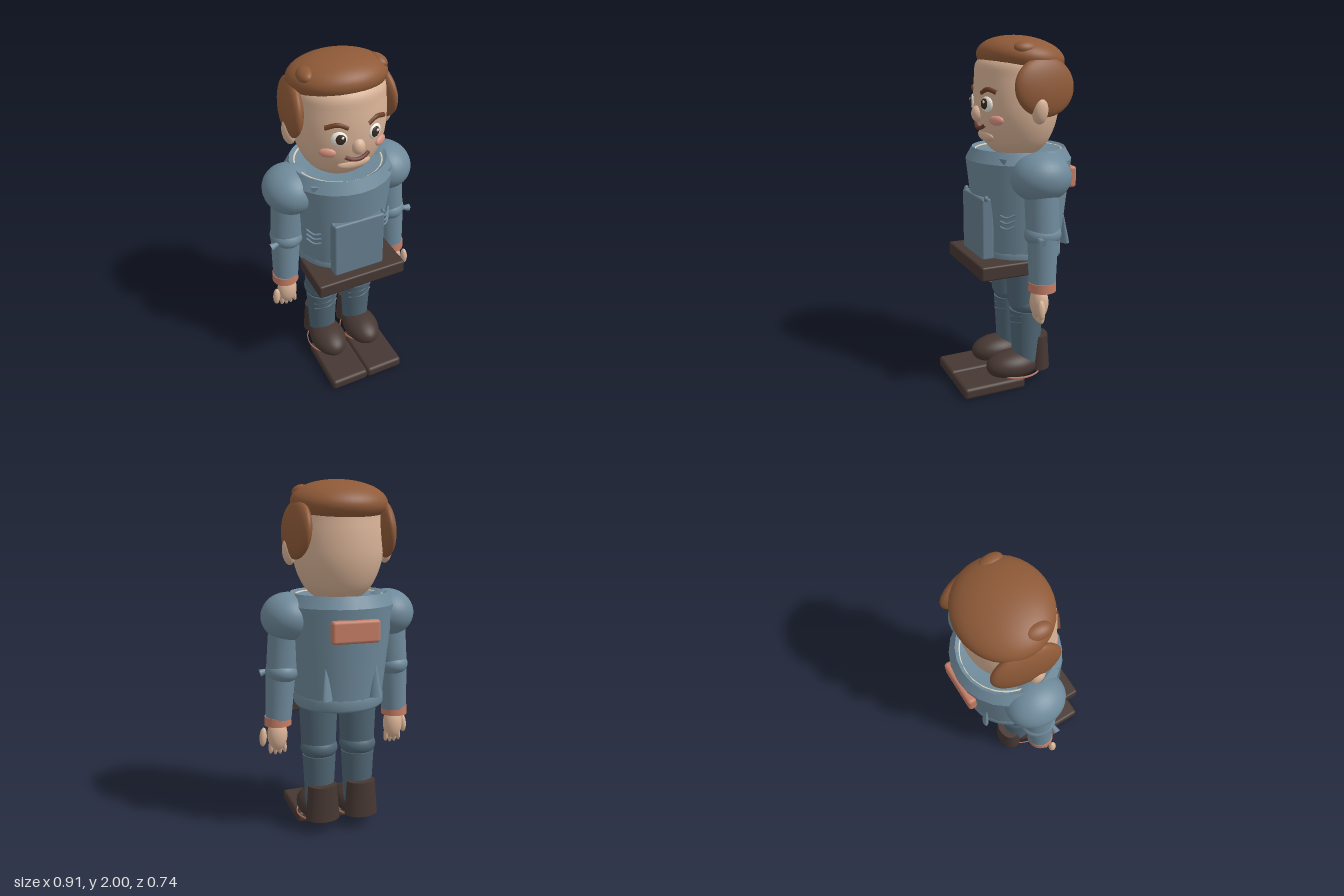
import * as THREE from 'three';
import { RoundedBoxGeometry } from 'three/addons/geometries/RoundedBoxGeometry.js';

const mat = (color, side = THREE.FrontSide) => new THREE.MeshStandardMaterial({ color, side });
const BLUE = mat(0x6f8a9b, THREE.DoubleSide), PANEL = mat(0x657c8c), DENIM = mat(0x4f6573);
const SKIN = mat(0xd9b397), BLUSH = mat(0xd99482), HAIR = mat(0x8f5a38), BROW = mat(0x6e4026);
const LEATHER = mat(0x463732), SALMON = mat(0xc47c64), CREAM = mat(0xd9cfb6);
const WHITE = mat(0xf0ece4), IRIS = mat(0x3a2a20), LIP = mat(0x6b3a30);

function add(parent, name, geometry, material, pos = [0, 0, 0], rot = [0, 0, 0]) {
  const m = new THREE.Mesh(geometry, material);
  m.name = name;
  m.position.set(...pos);
  m.rotation.set(...rot);
  parent.add(m);
  return m;
}
const ball = (rx, ry, rz, n = 32) => new THREE.SphereGeometry(1, n, Math.round(n * 0.7)).scale(rx, ry, rz);
const box = (w, h, d, r = 0.012) => new RoundedBoxGeometry(w, h, d, 3, r);
const lathe = (pts, zScale = 1, n = 40) =>
  new THREE.LatheGeometry(pts.map(p => new THREE.Vector2(...p)), n).scale(1, 1, zScale);
const smoothLathe = (pts, zScale = 1, n = 40) => {
  const curve = new THREE.SplineCurve(pts.map(p => new THREE.Vector2(...p)));
  return new THREE.LatheGeometry(curve.getPoints(36).map(p => p.setX(Math.max(0, p.x))), n).scale(1, 1, zScale);
};
const tube = (pts, r) => new THREE.TubeGeometry(
  new THREE.CatmullRomCurve3(pts.map(p => new THREE.Vector3(...p))), 16, r, 8);
const ring = (rx, rz, r) => new THREE.TorusGeometry(1, r, 8, 48).rotateX(Math.PI / 2).scale(rx, r < 0.03 ? 0.25 : 1, rz);

function buildHead(root) {
  const head = new THREE.Group();
  head.name = 'head';
  root.add(head);
  const cz = -0.045;
  add(head, 'face', smoothLathe([[0, 1.33], [0.11, 1.355], [0.18, 1.41], [0.225, 1.49], [0.25, 1.58],
    [0.256, 1.68], [0.25, 1.78], [0.235, 1.86], [0.15, 1.92], [0, 1.94]], 0.92), SKIN, [0, 0, cz]);
  add(head, 'chin', ball(0.095, 0.035, 0.03), SKIN, [0, 1.465, 0.135]);
  add(head, 'nose', ball(0.036, 0.045, 0.035), SKIN, [0, 1.585, 0.185]);
  add(head, 'mouth', tube([[-0.068, 1.53, 0.168], [-0.035, 1.512, 0.178], [0, 1.507, 0.182],
    [0.035, 1.512, 0.178], [0.068, 1.53, 0.168]], 0.011), LIP);

  // swept cap of hair, lower at the back
  add(head, 'hairCap', ball(0.268, 0.118, 0.24, 40), HAIR, [0, 1.88, -0.07], [-0.12, 0, 0]);
  for (const s of [-1, 1]) {
    add(head, 'hairTuft', ball(0.045, 0.035, 0.07), HAIR, [s * 0.2, 1.935, -0.01], [0, s * 0.12, -s * 0.4]);
    add(head, 'sideHair', ball(0.052, 0.158, 0.182), HAIR, [s * 0.25, 1.735, -0.098], [0, s * 0.12, s * 0.08]);
    add(head, 'ear', ball(0.035, 0.073, 0.045), SKIN, [s * 0.282, 1.617, -0.055], [0, 0, -s * 0.1]);
    const turn = s * 0.36;
    add(head, 'eyeWhite', ball(0.042, 0.042, 0.018), WHITE, [s * 0.1, 1.643, 0.169], [0, turn, 0]);
    add(head, 'iris', ball(0.027, 0.029, 0.01), IRIS, [s * 0.098, 1.645, 0.183], [0, turn, 0]);
    add(head, 'eyeGlint', ball(0.008, 0.008, 0.005, 12), WHITE, [s * 0.098 + 0.008, 1.657, 0.192]);
    add(head, 'cheek', ball(0.045, 0.026, 0.016), BLUSH, [s * 0.152, 1.56, 0.138], [0, s * 0.6, 0]);
    add(head, 'eyebrow', tube([[s * 0.055, 1.7, 0.18], [s * 0.105, 1.722, 0.168], [s * 0.165, 1.705, 0.138]], 0.013), BROW);
  }
}

function buildTorso(root) {
  const torso = new THREE.Group();
  torso.name = 'torso';
  root.add(torso);
  const cz = -0.06;
  // tapered elliptical body with a bevelled, slightly sunken neck
  const walls = [
    [[0.25, 0.79], [0.258, 0.87], [0.31, 1.33]],
    [[0.31, 1.33], [0.272, 1.395]],
    [[0.272, 1.395], [0.235, 1.372], [0, 1.36]]
  ];
  for (const w of walls) add(torso, 'jacketBody', lathe(w, 0.965, 24), BLUE, [0, 0, cz]);
  add(torso, 'jacketHem', lathe([[0, 0.76], [0.245, 0.755], [0.257, 0.77], [0.257, 0.815], [0.25, 0.83]], 0.96, 40), BLUE, [0, 0, cz]);
  add(torso, 'shirtCollar', ring(0.243, 0.245, 0.025), CREAM, [0, 1.378, cz]);
  add(torso, 'shirtTail', ring(0.2, 0.19, 0.025), CREAM, [0, 0.757, cz]);

  add(torso, 'chestPanel', box(0.305, 0.35, 0.07), PANEL, [0, 0.965, 0.19]);
  add(torso, 'belt', box(0.54, 0.082, 0.29), LEATHER, [0, 0.75, 0.13]);
  add(torso, 'backPatch', box(0.27, 0.125, 0.05, 0.018), SALMON, [0, 1.212, -0.346]);

  for (const s of [-1, 1]) {
    add(torso, 'panelStud', ball(0.012, 0.016, 0.014, 12), PANEL, [s * 0.152, 1.14, 0.2]);
    // thin folds at the flanks
    for (let i = 0; i < 3; i++) {
      const y = 0.985 + i * 0.032;
      add(torso, 'sideFold', tube([[s * 0.195, y, 0.135], [s * 0.228, y - 0.008, 0.112],
        [s * 0.258, y + 0.012, 0.075]], 0.006), BLUE);
    }
    // small lapel point beside the neck
    const lapel = new THREE.Shape([[0, 0], [0.045, 0], [0.015, -0.1], [0.022, -0.03]].map(p => new THREE.Vector2(s * p[0], p[1])));
    add(torso, 'lapel', new THREE.ExtrudeGeometry(lapel, { depth: 0.012, bevelEnabled: false }), BLUE,
      [s * 0.2, 1.365, 0.137], [0, s * 0.6, 0]);
    add(torso, 'backPleat', new THREE.ConeGeometry(0.035, 0.23, 16).scale(1, 1, 0.5), BLUE,
      [s * 0.14, 0.945, -0.283], [0.09, s * 0.4, 0]);
  }
}

function buildArm(root, s) {
  const arm = new THREE.Group();
  arm.name = s > 0 ? 'leftArm' : 'rightArm';
  root.add(arm);
  const limb = (name, y0, y1, r0, r1, x0, x1, z0, z1, material) => {
    const a = new THREE.Vector3(s * x0, y0, z0), b = new THREE.Vector3(s * x1, y1, z1);
    const m = add(arm, name, new THREE.CylinderGeometry(r1, r0, a.distanceTo(b), 32), material);
    m.position.copy(a).lerp(b, 0.5);
    m.quaternion.setFromUnitVectors(new THREE.Vector3(0, 1, 0), b.sub(a).normalize());
  };
  add(arm, 'shoulder', ball(0.15, 0.135, 0.17, 28), BLUE, [s * 0.292, 1.265, -0.06]);
  limb('upperArm', 0.95, 1.22, 0.09, 0.095, 0.33, 0.305, -0.055, -0.058, BLUE);
  add(arm, 'elbow', ball(0.093, 0.07, 0.104), BLUE, [s * 0.33, 0.96, -0.055]);
  limb('forearm', 0.69, 0.95, 0.074, 0.084, 0.352, 0.338, -0.045, -0.052, BLUE);
  add(arm, 'elbowFold', new THREE.ConeGeometry(0.022, 0.09, 12), BLUE, [s * 0.4, 0.955, 0], [0, 0, s * 1.3]);
  add(arm, 'cuff', new THREE.CylinderGeometry(0.075, 0.077, 0.05, 32), SALMON, [s * 0.356, 0.675, -0.043]);
  add(arm, 'palm', ball(0.058, 0.095, 0.05), SKIN, [s * 0.356, 0.582, -0.025]);
  for (let i = 0; i < 4; i++) {
    const off = (i - 1.5) * 0.025;
    add(arm, 'finger', ball(0.015, 0.05, 0.02, 16), SKIN,
      [s * 0.355 + off, 0.508 + Math.abs(off) * 0.25, -0.022], [0, 0, off * 3]);
  }
  add(arm, 'thumb', ball(0.021, 0.056, 0.023, 20), SKIN, [s * 0.434, 0.565, 0], [0, 0, s * 0.08]);
}

function buildLeg(root, s) {
  const leg = new THREE.Group();
  leg.name = s > 0 ? 'leftLeg' : 'rightLeg';
  leg.position.x = s * 0.118;
  root.add(leg);
  add(leg, 'thigh', new THREE.CylinderGeometry(0.112, 0.1, 0.29, 32), DENIM, [0, 0.645, -0.05]);
  add(leg, 'knee', ball(0.108, 0.075, 0.102), DENIM, [0, 0.495, -0.06]);
  add(leg, 'shin', new THREE.CylinderGeometry(0.097, 0.08, 0.33, 32), DENIM, [0, 0.29, -0.06]);
  for (let i = 0; i < 2; i++) {
    const y = 0.37 + i * 0.04;
    add(leg, 'trouserFold', tube([[-0.075, y - 0.012, 0], [0, y + 0.004, 0.034], [0.075, y + 0.022, 0.002]], 0.006), DENIM);
  }
  add(leg, 'bootShaft', new THREE.CylinderGeometry(0.084, 0.1, 0.205, 32).scale(1, 1, 0.73), LEATHER, [0, 0.183, -0.128]);
  add(leg, 'shoe', ball(0.108, 0.084, 0.165), LEATHER, [0, 0.111, 0.025]);
  add(leg, 'sole', box(0.234, 0.066, 0.375, 0.02), LEATHER, [0, 0.035, 0.182]);
  add(leg, 'welt', ring(0.117, 0.137, 0.028), SALMON, [0, 0.07, -0.003]);
}

export function createModel() {
  const root = new THREE.Group();
  root.name = 'figure';
  buildHead(root);
  buildTorso(root);
  for (const s of [-1, 1]) {
    buildArm(root, s);
    buildLeg(root, s);
  }
  return root;
}
